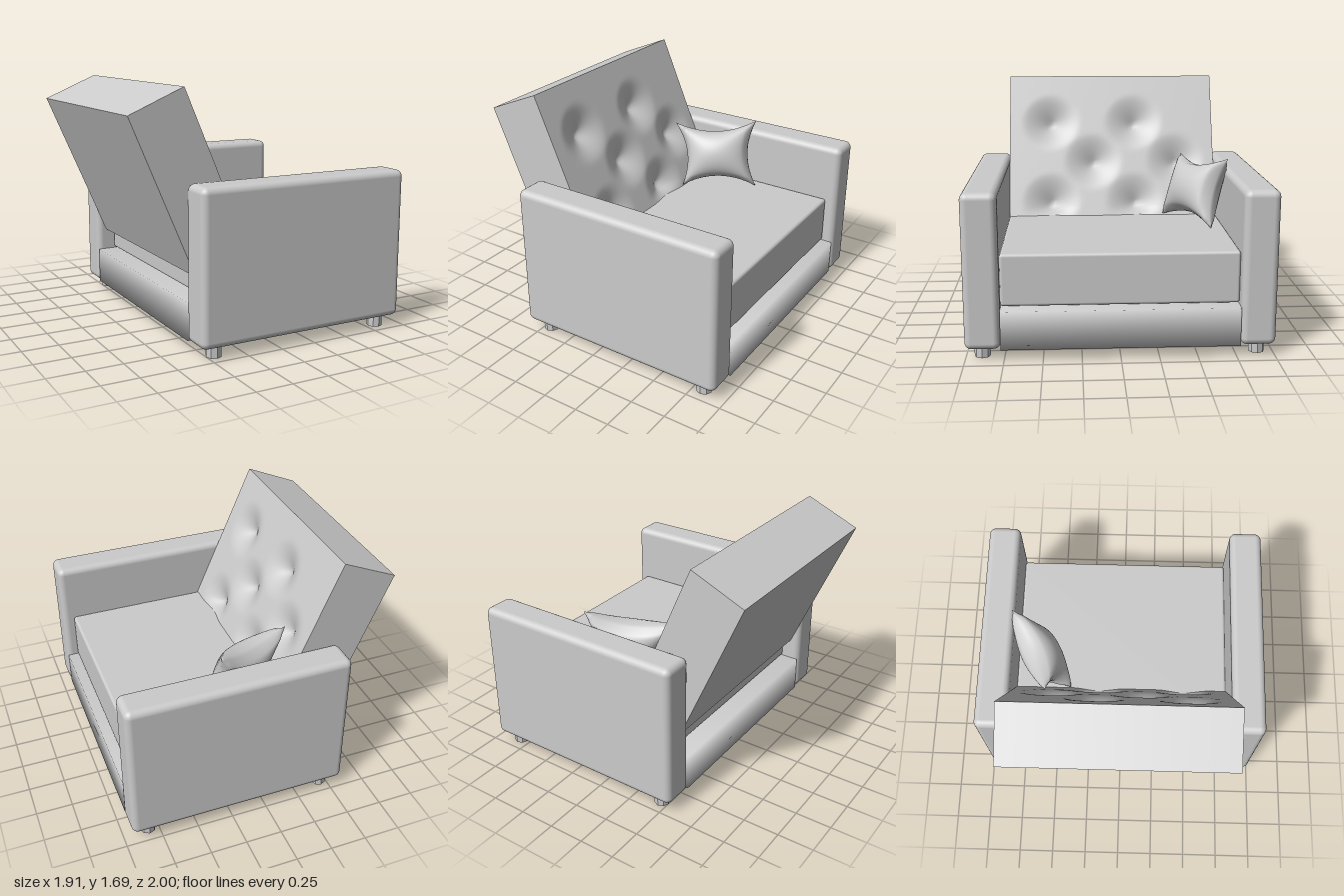
import * as THREE from 'three';
import { mergeVertices } from 'three/addons/utils/BufferGeometryUtils.js';
import { RoundedBoxGeometry } from 'three/addons/geometries/RoundedBoxGeometry.js';

const grey = new THREE.MeshStandardMaterial({ color: 0xcccccc });

function part(name, geometry, x = 0, y = 0, z = 0) {
  const mesh = new THREE.Mesh(geometry, grey);
  mesh.name = name;
  mesh.position.set(x, y, z);
  return mesh;
}

// Welds a geometry so its shading runs smoothly over all edges.
function smooth(geometry) {
  geometry.deleteAttribute('uv');
  geometry.deleteAttribute('normal');
  const welded = mergeVertices(geometry);
  welded.computeVertexNormals();
  return welded;
}

// Moves every vertex by a rule that edits it in place.
function moveVertices(geometry, rule) {
  const pos = geometry.attributes.position;
  const p = new THREE.Vector3();
  for (let i = 0; i < pos.count; i++) {
    rule(p.fromBufferAttribute(pos, i));
    pos.setXYZ(i, p.x, p.y, p.z);
  }
  return geometry;
}

// Thick slab whose front is drawn in at staggered buttons.
function tuftedBack() {
  const t = 0.407, h = 1.13, w = 1.535;
  const buttons = [
    [0.195, 0.455], [0.195, -0.17],
    [-0.11, 0.14], [-0.11, -0.48],
    [-0.415, 0.455], [-0.415, -0.17],
  ];
  const geo = new THREE.BoxGeometry(t, h, w, 1, 44, 60);
  moveVertices(geo, (p) => {
    if (p.x < 0) return;
    let dip = 0;
    for (const [y, z] of buttons) {
      const r = Math.hypot(p.y - y, p.z - z);
      dip = Math.max(dip, 0.1 * Math.max(0, 1 - r / 0.22) ** 1.6);
    }
    const edge = Math.min(h / 2 - Math.abs(p.y), w / 2 - Math.abs(p.z));
    p.x -= dip * Math.min(1, edge / 0.1);
  });
  geo.computeVertexNormals();
  return geo;
}

// Square pillow with pulled-out corners, leaning in the corner of the seat.
function pillowGeometry() {
  const topA = new THREE.Vector3(-0.31, 1.13, -0.52);
  const topB = new THREE.Vector3(0.25, 1.18, -0.78);
  const lowA = new THREE.Vector3(-0.15, 0.7, -0.37);
  const lowB = new THREE.Vector3(0.33, 0.7, -0.66);
  const normal = topB.clone().sub(topA).cross(topA.clone().sub(lowA)).normalize();
  const geo = new THREE.BoxGeometry(2, 2, 2, 20, 20, 1);
  moveVertices(geo, (p) => {
    const { x, y, z } = p;
    const puff = 0.13 * z * Math.sqrt(Math.max(0, (1 - x * x) * (1 - y * y)));
    const corner = 0.025 * z * Math.min(1, (1 - Math.abs(x * y)) * 4) * 0.5;
    const u = (x * (1 - 0.22 * (1 - y * y)) + 1) / 2;
    const v = (y * (1 - 0.3 * (1 - x * x)) + 1) / 2;
    const top = topA.clone().lerp(topB, u);
    p.copy(lowA).lerp(lowB, u).lerp(top, v).addScaledVector(normal, puff + corner);
  });
  return smooth(geo);
}

export function createModel() {
  const group = new THREE.Group();
  group.name = 'armchair';

  // Seat base and cushion, with a narrow gap between them
  group.add(part('base', smooth(new THREE.BoxGeometry(1.515, 0.255, 1.54)), 0.187, 0.2075, 0));
  group.add(part('seatCushion', new RoundedBoxGeometry(1.32, 0.345, 1.54, 3, 0.02), 0.212, 0.5175, 0));

  // Reclined back
  const back = part('backrest', tuftedBack(), -0.545, 1.09, 0);
  back.rotation.z = THREE.MathUtils.degToRad(23.3);
  group.add(back);

  // Arms and legs on both sides
  for (const side of [-1, 1]) {
    const label = side > 0 ? 'Front' : 'Rear';
    group.add(part('arm' + label, new RoundedBoxGeometry(1.53, 1.02, 0.23, 4, 0.045), 0.187, 0.59, side * 0.885));
    for (const x of [-0.45, 0.825]) {
      const leg = new THREE.CylinderGeometry(0.052, 0.052, 0.1, 8).toNonIndexed();
      leg.computeVertexNormals();
      group.add(part('leg' + label, leg, x, 0.05, side * 0.895));
    }
  }

  group.add(part('pillow', pillowGeometry()));
  return group;
}
